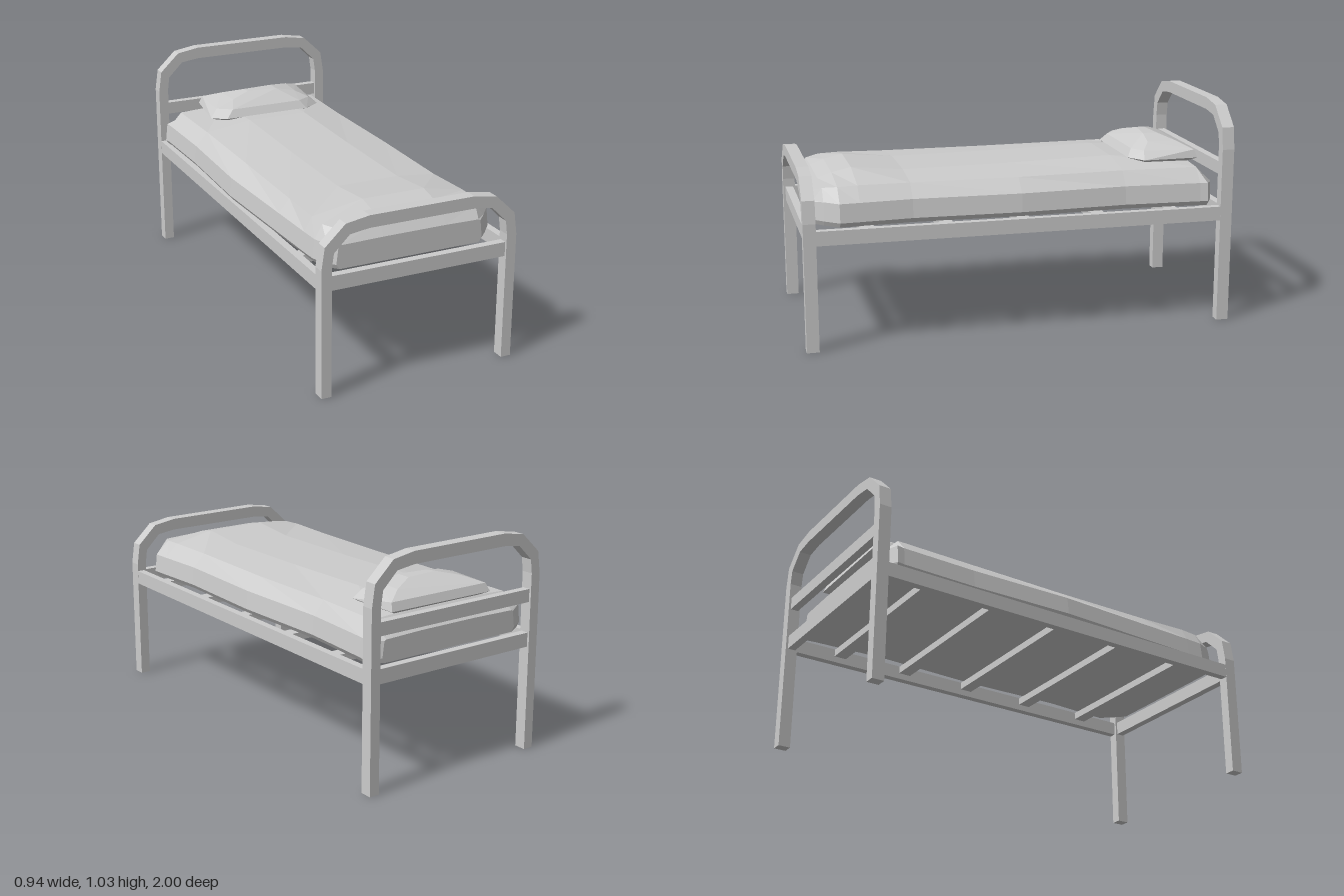
import * as THREE from 'three';
import { ConvexGeometry } from 'three/addons/geometries/ConvexGeometry.js';

const material = new THREE.MeshStandardMaterial({ color: 0xcccccc, flatShading: true });

function addMesh(parent, name, geometry) {
  const mesh = new THREE.Mesh(geometry, material);
  mesh.name = name;
  parent.add(mesh);
  return mesh;
}

function addBox(parent, name, w, h, d, x, y, z) {
  addMesh(parent, name, new THREE.BoxGeometry(w, h, d)).position.set(x, y, z);
}

// Legs and top bend in one piece: right half as points, mirrored to the left
function archGeometry(top, depth) {
  const outer = [[0.47, 0], [0.47, top - 0.21], [0.455, top - 0.108], [0.36, top - 0.018], [0.25, top]];
  const inner = [[0.25, top - 0.056], [0.34, top - 0.068], [0.413, top - 0.14], [0.422, top - 0.205], [0.422, 0]];
  const flip = (pts) => pts.map(([x, y]) => [-x, y]).reverse();
  const loop = [...outer, ...flip(outer), ...flip(inner), ...inner].map(([x, y]) => new THREE.Vector2(x, y));
  // flip(inner) runs up the left leg and back across to the right leg
  return new THREE.ExtrudeGeometry(new THREE.Shape(loop), { depth, bevelEnabled: false });
}

// Joins equal-length cross-sections (ordered along +z) and caps both ends
function loftGeometry(sections) {
  const n = sections[0].length;
  const index = [];
  for (let s = 0; s < sections.length - 1; s++) {
    for (let i = 0; i < n; i++) {
      const a = s * n + i, b = s * n + (i + 1) % n;
      index.push(a, b, b + n, a, b + n, a + n);
    }
  }
  const last = (sections.length - 1) * n;
  for (let i = 1; i < n - 1; i++) {
    index.push(0, i + 1, i, last, last + i, last + i + 1);
  }
  const geometry = new THREE.BufferGeometry();
  geometry.setAttribute('position', new THREE.Float32BufferAttribute(sections.flat(2), 3));
  geometry.setIndex(index);
  const flat = geometry.toNonIndexed();
  flat.computeVertexNormals();
  return flat;
}

function mattressGeometry() {
  // z, side left, side right, top-edge left, top-edge right, edge height, middle height
  const stations = [
    [-0.935, -0.39, 0.36, -0.37, 0.34, 0.655, 0.66],
    [-0.895, -0.46, 0.43, -0.37, 0.35, 0.69, 0.70],
    [-0.86, -0.455, 0.425, -0.385, 0.355, 0.725, 0.737],
    [-0.5, -0.45, 0.405, -0.38, 0.345, 0.725, 0.757],
    [0, -0.465, 0.425, -0.38, 0.35, 0.722, 0.746],
    [0.5, -0.445, 0.41, -0.385, 0.34, 0.722, 0.742],
    [0.74, -0.435, 0.425, -0.39, 0.35, 0.725, 0.765],
    [0.83, -0.43, 0.43, -0.385, 0.35, 0.722, 0.745],
    [0.895, -0.405, 0.375, -0.34, 0.32, 0.715, 0.722],
    [0.935, -0.37, 0.335, -0.35, 0.315, 0.66, 0.663],
  ];
  return loftGeometry(stations.map(([z, l, r, tl, tr, edge, mid]) => {
    const side = Math.min(0.66, edge - 0.005);
    return [
      [l + 0.015, 0.553, z], [r - 0.015, 0.553, z], [r, 0.575, z], [r - 0.01, side, z],
      [tr, edge, z], [0.15, mid, z], [-0.15, mid, z],
      [tl, edge, z], [l + 0.01, side, z], [l, 0.575, z],
    ];
  }));
}

// Soft lump as a hull of stacked outlines
function pillowGeometry() {
  const layers = [
    [0.732, [[-0.24, -0.86], [0.24, -0.86], [0.25, -0.65], [0.18, -0.6], [-0.21, -0.6], [-0.27, -0.65]]],
    [0.752, [[-0.27, -0.9], [0.28, -0.895], [0.285, -0.63], [0.2, -0.575], [-0.24, -0.575], [-0.31, -0.62]]],
    [0.79, [[-0.255, -0.885], [0.27, -0.88], [0.24, -0.64], [0.17, -0.6], [-0.2, -0.6], [-0.27, -0.65]]],
    [0.82, [[-0.18, -0.81], [0.19, -0.82], [0.18, -0.68], [-0.17, -0.67]]],
    [0.842, [[-0.08, -0.75], [0.08, -0.76], [0.08, -0.69], [-0.07, -0.71]]],
  ];
  return new ConvexGeometry(layers.flatMap(([y, pts]) => pts.map(([x, z]) => new THREE.Vector3(x, y, z))));
}

export function createModel() {
  const bed = new THREE.Group();
  bed.name = 'bed';

  // Head and foot ends
  addMesh(bed, 'headFrame', archGeometry(1.035, 0.057)).position.z = -1;
  addMesh(bed, 'footFrame', archGeometry(0.8, 0.057)).position.z = 0.943;
  addBox(bed, 'headCrossBar', 0.85, 0.06, 0.037, 0, 0.727, -0.971);

  // Base rails
  for (const s of [-1, 1]) {
    addBox(bed, s > 0 ? 'footRail' : 'headRail', 0.85, 0.066, 0.037, 0, 0.522, s * 0.971);
    addBox(bed, s > 0 ? 'leftRail' : 'rightRail', 0.035, 0.066, 1.89, s * 0.452, 0.522, 0);
  }

  // Slats under the mattress
  for (let i = -2; i <= 2; i++) {
    addBox(bed, 'slat', 0.88, 0.035, 0.06, 0, 0.536, i * 0.355);
  }

  addMesh(bed, 'mattress', mattressGeometry());
  addMesh(bed, 'pillow', pillowGeometry());
  return bed;
}
